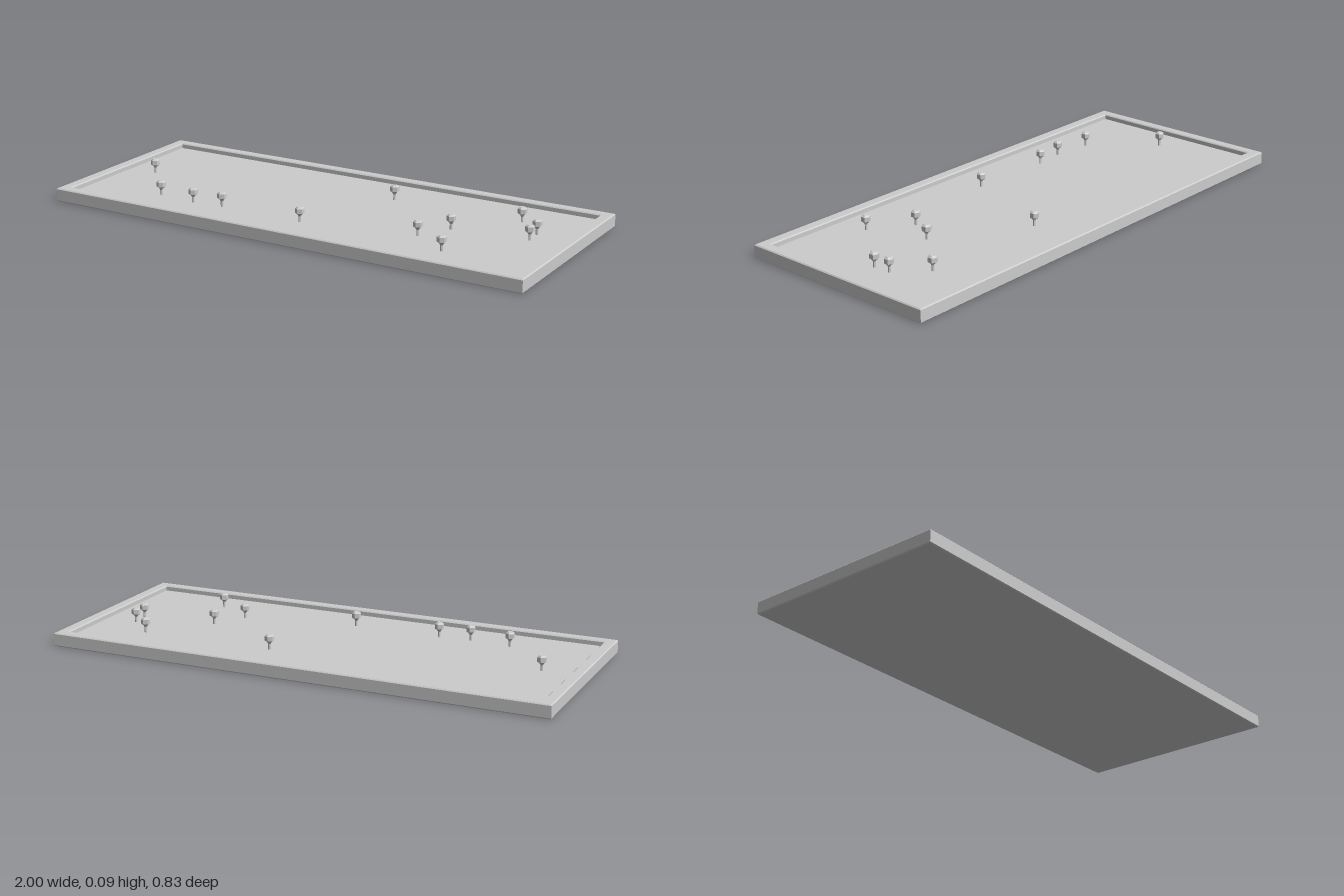
import * as THREE from 'three';

const HALF_X = 1, HALF_Z = 0.413, HEIGHT = 0.053;
const INNER_X = 0.957, INNER_Z = 0.37, FLOOR = 0.033, BEVEL = 0.004;

const material = new THREE.MeshStandardMaterial({ color: 0xcccccc, flatShading: true });

function rectangle(path, x, z) {
  path.moveTo(-x, -z);
  path.lineTo(x, -z);
  path.lineTo(x, z);
  path.lineTo(-x, z);
  path.closePath();
  return path;
}

function addMesh(parent, name, geometry) {
  const mesh = new THREE.Mesh(geometry, material);
  mesh.name = name;
  parent.add(mesh);
  return mesh;
}

export function createModel() {
  const board = new THREE.Group();
  board.name = 'pinBoard';

  // Raised frame with small chamfers
  const outline = rectangle(new THREE.Shape(), HALF_X, HALF_Z);
  outline.holes.push(rectangle(new THREE.Path(), INNER_X, INNER_Z));
  const frame = new THREE.ExtrudeGeometry(outline, {
    depth: HEIGHT - 2 * BEVEL,
    bevelThickness: BEVEL,
    bevelSize: BEVEL,
    bevelOffset: -BEVEL,
    bevelSegments: 1,
  });
  frame.rotateX(-Math.PI / 2).translate(0, BEVEL, 0);
  addMesh(board, 'frame', frame);

  // Recessed panel, flush with the underside
  const panel = new THREE.BoxGeometry(2 * (INNER_X + BEVEL), FLOOR, 2 * (INNER_Z + BEVEL));
  addMesh(board, 'panel', panel.translate(0, FLOOR / 2, 0));

  // Six-sided push pin: thin stem, flared neck, chamfered head
  const profile = [
    [0.005, FLOOR - 0.003], [0.005, 0.055], [0.008, 0.06], [0.01, 0.063],
    [0.018, 0.068], [0.018, 0.086], [0.011, 0.092], [0, 0.092],
  ].map(([r, y]) => new THREE.Vector2(r, y));
  const pin = new THREE.LatheGeometry(profile, 6);

  // Pin positions on the panel (x, z)
  const places = [
    [-0.835, -0.013], [-0.633, 0.22], [-0.47, 0.235], [-0.345, 0.222],
    [0.007, 0.225], [0.178, -0.195], [0.458, 0.14], [0.53, 0.015],
    [0.61, 0.246], [0.718, -0.197], [0.825, -0.092], [0.828, -0.022],
  ];
  const pins = new THREE.Group();
  pins.name = 'pins';
  for (const [x, z] of places) addMesh(pins, 'pin', pin).position.set(x, 0, z);
  board.add(pins);

  return board;
}
